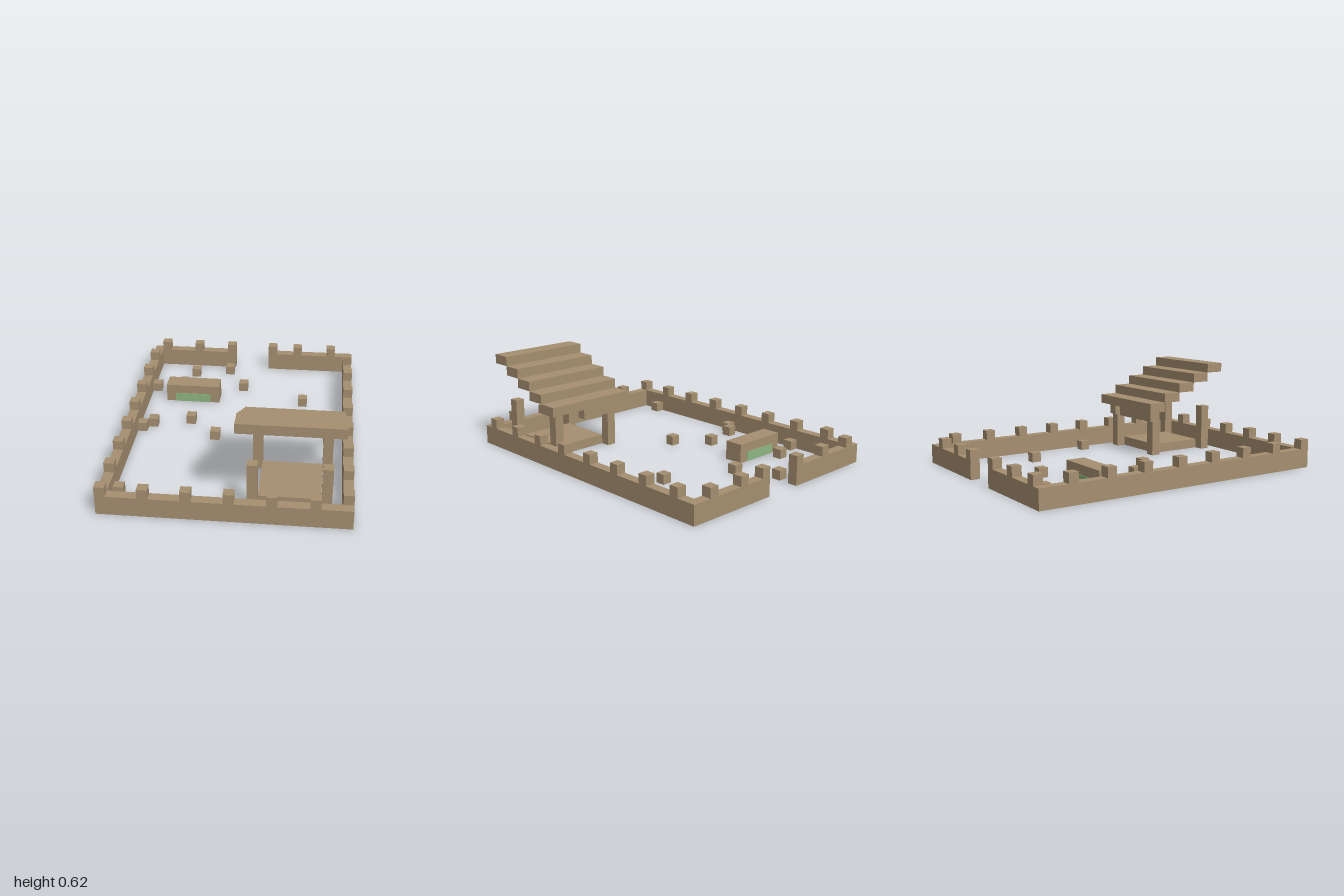
import * as THREE from 'three';

const U = 1 / 16; // one block

export function createModel() {
  const model = new THREE.Group();
  const stone = new THREE.MeshStandardMaterial({ color: 0xa58f70, side: THREE.DoubleSide });
  stone.name = 'tanStone';
  const green = new THREE.MeshStandardMaterial({ color: 0x8fb583, side: THREE.DoubleSide });
  green.name = 'softGreen';

  // Block from its minimum corner and size, in block units; blocks on the ground are open below
  function block(parent, name, x, y, z, w, h, d, material = stone) {
    const geo = new THREE.BoxGeometry(w * U, h * U, d * U);
    if (y === 0 && material === stone) {
      const index = Array.from(geo.index.array);
      index.splice(18, 6); // downward face
      geo.setIndex(index);
    }
    const mesh = new THREE.Mesh(geo, material);
    mesh.name = name;
    mesh.position.set((x + w / 2) * U, (y + h / 2) * U, (z + d / 2) * U);
    parent.add(mesh);
  }
  function group(name) {
    const g = new THREE.Group();
    g.name = name;
    model.add(g);
    return g;
  }

  // Yard walls, with a gateway in the back
  const walls = group('walls');
  block(walls, 'leftWall', 11, 0, -16, 1, 2, 32);
  block(walls, 'rightWall', -12, 0, -16, 1, 2, 32);
  block(walls, 'frontWall', -11, 0, 15, 22, 2, 1);
  block(walls, 'backWallRight', -11, 0, -16, 9, 2, 1);
  block(walls, 'backWallLeft', 2, 0, -16, 9, 2, 1);

  // Battlements, every fourth block
  const merlons = group('merlons');
  for (let i = 0; i < 8; i++) {
    block(merlons, 'rightMerlon', -12, 2, 15 - 4 * i, 1, 1, 1);
    block(merlons, 'leftMerlon', 11, 2, 14 - 4 * i, 1, 1, 1);
  }
  for (let x = -8; x <= 8; x += 4) block(merlons, 'frontMerlon', x, 2, 15, 1, 1, 1);
  for (const x of [-11, -7, -3, 2, 5, 9]) block(merlons, 'backMerlon', x, 2, -16, 1, 1, 1);

  // Shelter: floor, four posts and a stepped roof
  const shelter = group('shelter');
  block(shelter, 'floor', 3, 0, 7, 6, 1, 6);
  for (const x of [2, 9]) for (const z of [6, 13]) block(shelter, 'post', x, 0, z, 1, 5, 1);
  for (let i = 0; i < 5; i++) block(shelter, 'roofStep', 1, 5 + i, 5 + 2 * i, 10, 1, 2);
  block(shelter, 'longEave', 1, 4, 5, 6, 1, 1);
  block(shelter, 'shortEave', 8, 4, 5, 1, 1, 1);

  // Trough with a green panel on both long sides
  const trough = group('trough');
  block(trough, 'troughBody', -9, 0, -8, 6, 2, 2);
  for (const z of [-8, -6]) block(trough, 'greenPanel', -8, 0, z - 0.05, 4, 1, 0.1, green);

  // Loose blocks in the yard
  const loose = group('looseBlocks');
  const spots = [[-7, -13], [-3, -14], [-8, -10], [-1, -10], [-11, -9], [6, -7],
    [-6, -2], [-10, -1], [-11, 0], [-3, 1], [9, 1], [-11, 12]];
  for (const [x, z] of spots) block(loose, 'looseBlock', x, 0, z, 1, 1, 1);

  return model;
}
